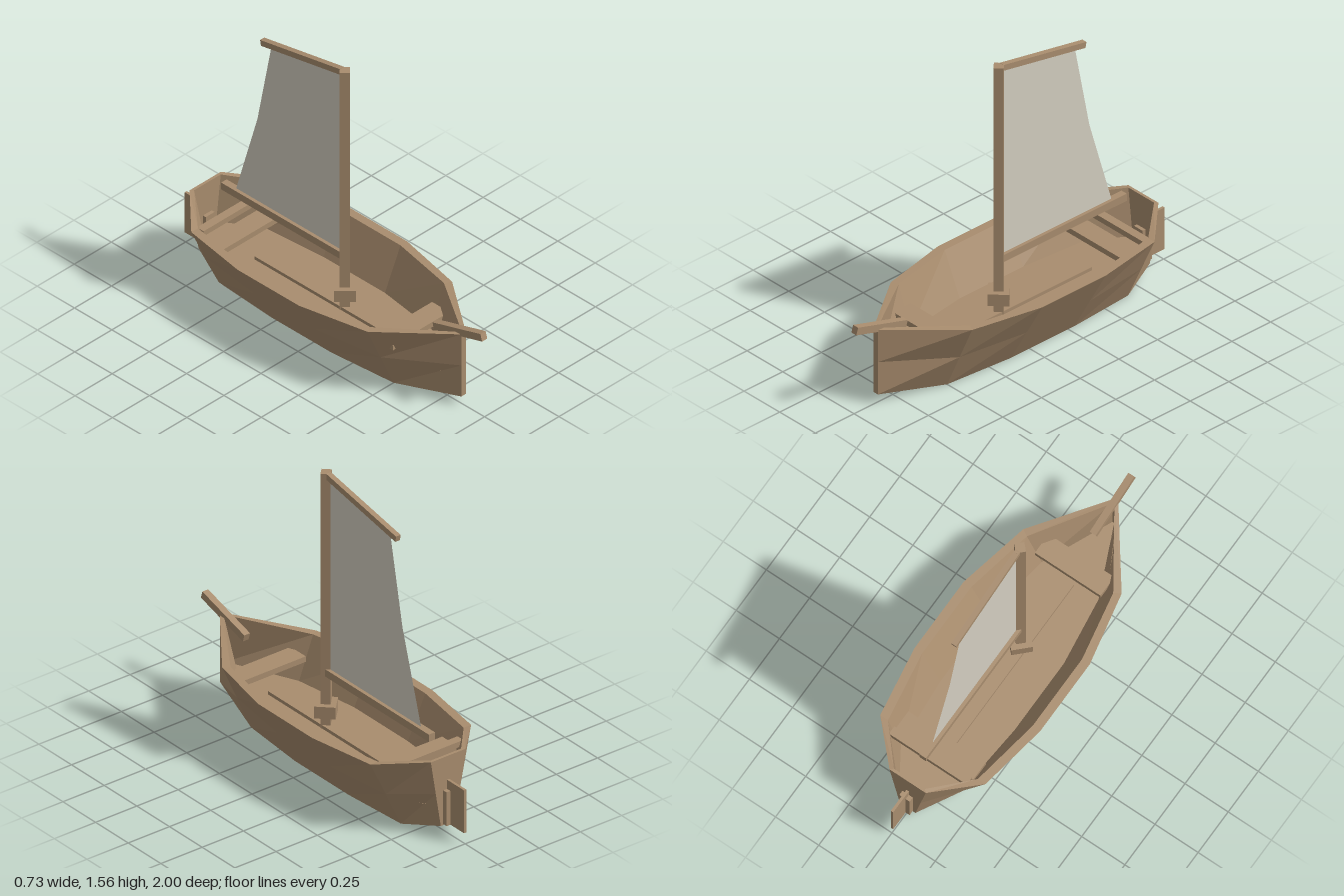
import * as THREE from 'three';

const wood = new THREE.MeshStandardMaterial({ color: 0xa98d6e, flatShading: true });
wood.name = 'wood';
const canvas = new THREE.MeshStandardMaterial({ color: 0xd4cfc1, side: THREE.DoubleSide });
canvas.name = 'canvas';

// Hull stations from bow to stern:
// z, rim half-width, rim y, bottom half-width, bottom y, inner z, inner rim half-width, floor half-width
const STATIONS = [
  [0.86, 0.015, 0.42, 0.015, 0.055, 0.84, 0.006, 0.005],
  [0.50, 0.285, 0.39, 0.11, 0, 0.48, 0.25, 0.165],
  [0.12, 0.365, 0.39, 0.145, 0, 0.12, 0.32, 0.215],
  [-0.29, 0.365, 0.39, 0.145, 0, -0.29, 0.32, 0.215],
  [-0.66, 0.305, 0.39, 0.12, 0, -0.66, 0.26, 0.185],
  [-0.87, 0.105, 0.425, 0.045, 0.055, -0.855, 0.09, 0.06],
];
const FLOOR = 0.165;

function hullGeometry() {
  // Each ring runs up the outside, over the rim, down to the floor and back
  const rings = STATIONS.map(([z, w, y, bw, by, iz, iw, fw]) => {
    const half = [
      [bw, by, z], [(w + bw) / 2, (y + by) / 2, z], [w, y, z],
      [iw, y, iz], [fw, FLOOR, iz],
    ];
    return half.concat([...half].reverse().map(([px, py, pz]) => [-px, py, pz]));
  });
  const pos = [];
  const polygon = (pts) => {
    for (let i = 1; i < pts.length - 1; i++) pos.push(...pts[0], ...pts[i], ...pts[i + 1]);
  };
  for (let s = 0; s < rings.length - 1; s++) {
    const a = rings[s], b = rings[s + 1], n = a.length;
    for (let j = 0; j < n; j++) {
      const k = (j + 1) % n;
      polygon([a[j], b[j], b[k], a[k]]);
    }
  }
  // Stem and transom: outside, inside and rim faces
  const caps = [[0, 1, 2, 7, 8, 9], [3, 4, 5, 6], [2, 3, 6, 7]];
  for (const cap of caps) {
    polygon(cap.map((i) => rings[0][i]));
    polygon([...cap].reverse().map((i) => rings[rings.length - 1][i]));
  }
  const g = new THREE.BufferGeometry();
  g.setAttribute('position', new THREE.Float32BufferAttribute(pos, 3));
  g.computeVertexNormals();
  return g;
}

export function createModel() {
  const boat = new THREE.Group();
  boat.name = 'sailboat';

  const add = (name, geometry, material = wood) => {
    const mesh = new THREE.Mesh(geometry, material);
    mesh.name = name;
    boat.add(mesh);
    return mesh;
  };
  const box = (name, size, position, rx = 0, ry = 0) => {
    const mesh = add(name, new THREE.BoxGeometry(...size));
    mesh.position.set(...position);
    mesh.rotation.set(rx, ry, 0);
    return mesh;
  };

  add('hull', hullGeometry());

  // Fittings inside the hull
  box('keelPlank', [0.06, 0.02, 0.98], [0, FLOOR + 0.008, -0.02]);
  box('frontSeat', [0.38, 0.03, 0.115], [0, 0.285, 0.518]);
  box('rearSeat', [0.45, 0.03, 0.11], [0, 0.285, -0.595]);
  box('sternCrossbar', [0.45, 0.03, 0.045], [0, 0.34, -0.68]);

  // Square mast turned on edge, with its collar
  box('mast', [0.049, 1.56 - FLOOR, 0.049], [0, (1.56 + FLOOR) / 2, 0.065], 0, Math.PI / 4);
  box('mastCollar', [0.104, 0.065, 0.104], [0, 0.265, 0.065], 0, Math.PI / 4);

  // Spars
  box('boom', [0.037, 0.04, 0.8], [0, 0.47, -0.345]);
  box('gaff', [0.028, 0.032, 0.545], [0, 1.494, -0.218], -0.19);
  box('bowsprit', [0.035, 0.04, 0.335], [0, 0.423, 0.835], -0.29);

  // Sail
  const outline = [[0.04, 0.48], [-0.665, 0.48], [-0.52, 0.97], [-0.425, 1.45], [0.04, 1.535]];
  const shape = new THREE.Shape(outline.map(([z, y]) => new THREE.Vector2(-z, y)));
  add('sail', new THREE.ShapeGeometry(shape), canvas).rotation.y = Math.PI / 2;

  // Rudder and its post
  box('rudder', [0.014, 0.235, 0.14], [0, 0.178, -0.93]);
  box('rudderPost', [0.06, 0.185, 0.06], [0, 0.153, -0.866]);

  return boat;
}
